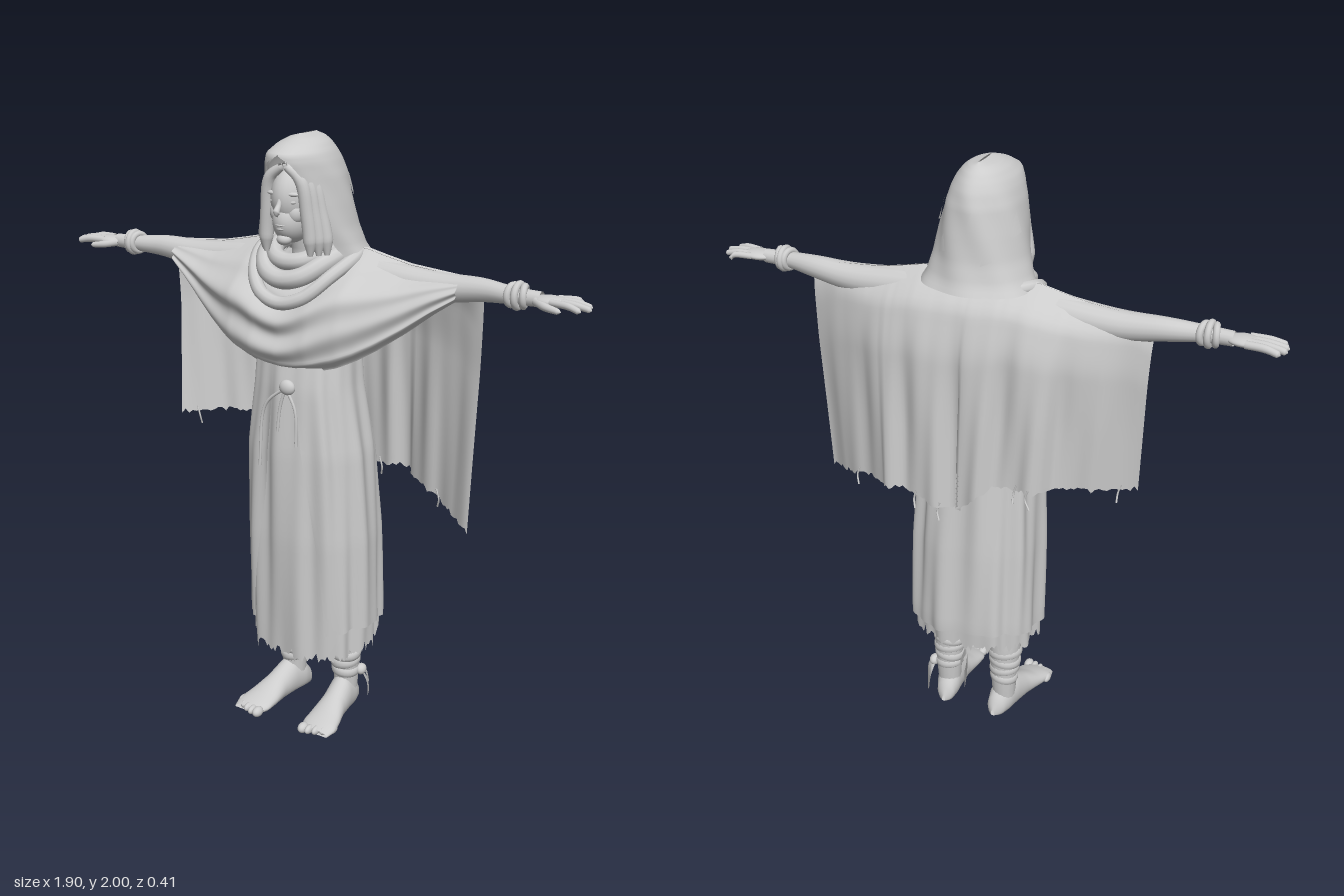
import * as THREE from 'three';

const V = (x, y, z) => new THREE.Vector3(x, y, z);
const TAU = Math.PI * 2;
const noise = (i) => { const s = Math.sin(i * 12.9898) * 43758.5453; return s - Math.floor(s); };
const smooth = (a, b, x) => THREE.MathUtils.smoothstep(x, a, b);

// Interpolate rows by their first value
function rowAt(rows, t) {
  let i = 0;
  while (i < rows.length - 2 && t > rows[i + 1][0]) i++;
  const a = rows[i], b = rows[i + 1];
  const k = THREE.MathUtils.clamp((t - a[0]) / (b[0] - a[0]), 0, 1);
  return a.map((n, j) => n + (b[j] - n) * k);
}

// Grid surface from fn(u, v) -> [x, y, z]; closed joins u = 1 to u = 0
function surface(fn, nu, nv, closed = false) {
  const pos = [], idx = [], cols = closed ? nu : nu + 1;
  for (let j = 0; j <= nv; j++)
    for (let i = 0; i < cols; i++) pos.push(...fn(i / nu, j / nv));
  for (let j = 0; j < nv; j++)
    for (let i = 0; i < nu; i++) {
      const k = (i + 1) % cols, a = j * cols + i, b = j * cols + k;
      idx.push(a, b, a + cols, b, b + cols, a + cols);
    }
  const g = new THREE.BufferGeometry();
  g.setAttribute('position', new THREE.Float32BufferAttribute(pos, 3));
  g.setIndex(idx);
  g.computeVertexNormals();
  return g;
}

export function createModel() {
  const model = new THREE.Group();
  const grey = new THREE.MeshStandardMaterial({ color: 0xcccccc, side: THREE.DoubleSide });
  grey.name = 'plain grey';

  const add = (name, geo, parent = model) => {
    const m = new THREE.Mesh(geo, grey);
    m.name = name;
    parent.add(m);
    return m;
  };
  const tube = (name, pts, r, parent, closed = false) =>
    add(name, new THREE.TubeGeometry(new THREE.CatmullRomCurve3(pts, closed), closed ? 64 : 20, r, 10, closed), parent);
  const ball = (name, x, y, z, sx, sy, sz, parent) => {
    const m = add(name, new THREE.SphereGeometry(1, 28, 20), parent);
    m.position.set(x, y, z);
    m.scale.set(sx, sy, sz);
    return m;
  };
  // Rounded limb with changing radius; points are [x, y, z, radius]
  const limb = (name, pts, parent) => {
    const curve = new THREE.CatmullRomCurve3(pts.map((p) => V(p[0], p[1], p[2])));
    const radii = pts.map((p, i) => [i / (pts.length - 1), p[3]]);
    const n = 24, fr = curve.computeFrenetFrames(n);
    return add(name, surface((u, v) => {
      const i = Math.round(v * n), r = rowAt(radii, v)[1], a = -u * TAU;
      return curve.getPoint(v).addScaledVector(fr.normals[i], r * Math.cos(a))
        .addScaledVector(fr.binormals[i], r * Math.sin(a)).toArray();
    }, 16, n, true), parent);
  };

  // Robe cross-sections: y, min x, max x, back z, front z
  const robe = [
    [0.25, -0.2, 0.25, -0.17, 0.18], [0.4, -0.2, 0.25, -0.178, 0.185], [0.7, -0.195, 0.245, -0.165, 0.195],
    [1.0, -0.182, 0.225, -0.145, 0.195], [1.22, -0.15, 0.19, -0.12, 0.185], [1.45, -0.15, 0.17, -0.11, 0.15],
    [1.58, -0.15, 0.16, -0.08, 0.09], [1.64, -0.07, 0.08, -0.06, 0.06],
  ];
  const robePoint = (a, y, scale) => {
    const [, x0, x1, z0, z1] = rowAt(robe, y);
    const loose = 1 - smooth(1.0, 1.4, y) * 0.6;
    const f = scale * (1 + loose * (0.032 * Math.sin(a * 9 + y * 2) + 0.022 * Math.sin(a * 16 - y * 2.5)) - 0.02);
    const sq = (t) => Math.sign(t) * Math.abs(t) ** 0.85;
    return [(x0 + x1) / 2 + (x1 - x0) / 2 * sq(Math.sin(a)) * f, y, (z0 + z1) / 2 + (z1 - z0) / 2 * sq(Math.cos(a)) * f];
  };
  add('innerRobe', surface((u, v) => {
    const a = u * TAU;
    const hem = 0.3 - 0.025 * Math.cos(a) + 0.03 * noise(Math.floor(u * 160));
    return robePoint(a, hem + (1.64 - hem) * Math.max(0, (v - 0.02) / 0.98) - (v === 0 ? 0.03 * noise(u * 91) : 0), 0.965);
  }, 160, 48, true));
  // Open coat with a parted front
  add('outerCoat', surface((u, v) => {
    const y0 = 0.375 + 0.015 * Math.sin(u * 13), y = y0 + (1.45 - y0) * v;
    const open = 0.2 + 0.36 * (1 - smooth(0.4, 1.25, y));
    return robePoint(open + u * (TAU - 2 * open), y, 1.025);
  }, 120, 40));

  // Waist knot and hanging cords
  const tie = new THREE.Group();
  tie.name = 'waistTie';
  model.add(tie);
  ball('knot', 0.035, 1.23, 0.188, 0.028, 0.025, 0.018, tie);
  for (const [x, y] of [[-0.07, 0.95], [0.0, 1.08], [0.07, 1.04]])
    tube('hangingCord', [V(0.03, 1.23, 0.19), V(x * 0.8 + 0.01, 1.16, 0.192), V(x, y, 0.193)], 0.005, tie);

  // Back cape, hanging lower on the left
  const capeHem = [[-0.56, 0.99], [-0.3, 1.0], [-0.13, 0.98], [0, 0.87], [0.1, 0.88], [0.25, 0.9], [0.42, 0.86], [0.6, 0.8]];
  const shoulder = [[0.08, 1.665], [0.2, 1.652], [0.27, 1.636], [0.35, 1.62], [0.45, 1.611], [0.6, 1.598]];
  const topY = (x) => rowAt(shoulder, Math.abs(x))[1];
  const capeDepth = [[0, -0.165], [0.2, -0.155], [0.3, -0.137], [0.4, -0.11], [0.6, -0.035]];
  const capePoint = (u, v) => {
    const x = -0.56 + u * 1.16, ax = Math.abs(x);
    const hem = rowAt(capeHem, x)[1] + 0.018 * noise(Math.floor(u * 110));
    const top = topY(x) - 0.06 * smooth(0.5, 0.6, ax);
    const fold = 0.014 * (Math.sin(x * 34 + v) + 0.4 * Math.sin(x * 71 - v * 2)) * smooth(0, 0.7, v) * (1 - smooth(0.2, 0.55, ax) * 0.6);
    const back = rowAt(capeDepth, ax)[1] * (0.74 + 0.26 * smooth(0, 0.35, v)) + v * (ax > 0.3 ? (ax - 0.3) * 0.2 : -0.015) + fold;
    const z = -0.02 + (back + 0.02) * Math.sin(Math.min(v * 7, 1) * Math.PI / 2);
    return [x + (x < 0 ? 0.03 * v : 0), top + (hem - top) * v, z];
  };
  add('backCape', surface(capePoint, 110, 40));
  // Loose threads on the torn hem
  [0.04, 0.26, 0.3, 0.55, 0.63, 0.86].forEach((u, i) => {
    const [x, y, z] = capePoint(u, 1);
    tube('thread', [V(x, y + 0.02, z), V(x + 0.01, y - 0.015, z), V(x + 0.01 - 0.02 * noise(i), y - 0.045, z - 0.01)], 0.003);
  });

  // Front shawl, sagging in curved folds from arm to arm
  const shawlDepth = [[0, 0.2], [0.1, 0.195], [0.2, 0.17], [0.3, 0.125], [0.4, 0.08], [0.53, 0.032]];
  const shawlHem = [[0, 1.272], [0.06, 1.275], [0.12, 1.285], [0.18, 1.302], [0.24, 1.33], [0.3, 1.367], [0.38, 1.425], [0.46, 1.49], [0.53, 1.54]];
  add('frontShawl', surface((u, v) => {
    const x = (u * 2 - 1) * 0.53, ax = Math.abs(x), neck = 1 - smooth(0, 0.2, ax);
    const top = topY(x) + 0.003 - 0.11 * neck;
    const low = rowAt(shawlHem, ax)[1];
    const bulge = Math.sin(Math.min(v * 1.8, 1) * Math.PI / 2);
    const start = -0.03 + 0.14 * neck;
    const fold = 0.011 * Math.sin(v * 19 + x * 5) * smooth(0.08, 0.3, v) * (1 - ax * 1.2);
    const z = start + (rowAt(shawlDepth, ax)[1] - start) * bulge + fold - 0.06 * smooth(0.9, 1, v) * (1 - ax);
    return [x, top + (low - top) * v, z];
  }, 96, 48));

  // Rolled cowl around the neck, sagging in front
  const cowl = new THREE.Group();
  cowl.name = 'cowl';
  model.add(cowl);
  for (const [front, fz, w, side, bz, r] of [
    [1.615, 0.125, 0.1, 1.655, -0.08, 0.028], [1.565, 0.158, 0.13, 1.645, -0.09, 0.03], [1.495, 0.178, 0.17, 1.635, -0.095, 0.022]]) {
    const half = [[0.45, front + (side - front) * 0.16, fz * 0.93], [0.82, front + (side - front) * 0.6, fz * 0.6], [1, side, -0.01], [0.6, side, bz * 0.85]]
      .map(([x, y, z]) => V(x * w, y, z));
    const mirrored = half.map((p) => V(-p.x, p.y, p.z)).reverse();
    tube('cowlRoll', [V(0, front, fz), ...half, V(0, side, bz), ...mirrored], r, cowl, true);
  }

  // Hood sections: y, half width, front z, back z, opening half-angle
  const hood = [
    [1.63, 0.185, 0.11, -0.165, 0.98], [1.66, 0.168, 0.125, -0.15, 0.92], [1.72, 0.15, 0.15, -0.135, 0.82], [1.8, 0.135, 0.17, -0.125, 0.74],
    [1.88, 0.117, 0.19, -0.113, 0.62], [1.925, 0.102, 0.203, -0.098, 0.4], [1.95, 0.09, 0.202, -0.083, 0], [1.975, 0.068, 0.155, -0.062, 0],
    [1.99, 0.045, 0.11, -0.042, 0], [2.0, 0.004, 0.07, -0.02, 0]];
  const hoodPoint = (u, y, grow = 0) => {
    const [, w, zf, zb, o] = rowAt(hood, y);
    const a = o + u * (TAU - 2 * o), d = (zf - zb) / 2 + grow;
    const f = 1 + 0.015 * Math.sin(a * 7 + y * 22) * (1 - smooth(1.85, 2, y));
    return [0.01 + (w + grow) * Math.sin(a) * f, y, (zf + zb) / 2 + d * Math.cos(a) * f];
  };
  add('hood', surface((u, v) => hoodPoint(u, 1.63 + 0.37 * Math.sin(v * Math.PI / 2)), 72, 40));
  add('hoodLining', surface((u, v) => hoodPoint(u, 1.64 + 0.335 * v, -0.008), 48, 24));
  // Worn patches on the hood
  for (const [u, y, w, h] of [[0.28, 1.84, 0.05, 0.06], [0.38, 1.76, 0.04, 0.05], [0.53, 1.84, 0.04, 0.06], [0.6, 1.74, 0.04, 0.04], [0.74, 1.82, 0.05, 0.06]])
    add('wornPatch', surface((s, t) => hoodPoint(u + (s - 0.5) * w * (1.3 - t), y + (t - 0.5) * h + s * 0.015, 0.006), 6, 6));

  // Head, face and hair
  const head = new THREE.Group();
  head.name = 'head';
  head.position.x = 0.01;
  model.add(head);
  ball('skull', 0, 1.815, 0.07, 0.078, 0.11, 0.12, head);
  ball('jaw', 0, 1.745, 0.115, 0.056, 0.07, 0.075, head);
  ball('chin', 0, 1.692, 0.162, 0.024, 0.018, 0.022, head);
  limb('nose', [[0, 1.825, 0.18, 0.006], [0, 1.8, 0.19, 0.008], [0, 1.778, 0.204, 0.011], [0, 1.766, 0.198, 0.002]], head);
  ball('upperLip', 0, 1.738, 0.18, 0.02, 0.005, 0.011, head);
  ball('lowerLip', 0, 1.726, 0.178, 0.017, 0.006, 0.011, head);
  limb('neck', [[0, 1.72, 0.04, 0.05], [0, 1.65, 0.03, 0.05], [0, 1.58, 0.02, 0.06]], head);
  for (const s of [-1, 1]) {
    ball('eyelid', s * 0.03, 1.808, 0.164, 0.016, 0.008, 0.014, head);
    ball('brow', s * 0.03, 1.832, 0.166, 0.026, 0.008, 0.014, head);
    ball('cheek', s * 0.03, 1.772, 0.144, 0.028, 0.034, 0.03, head);
    for (let i = 0; i < 3; i++)
      limb('hairLock', [[s * 0.01, 1.91, 0.16 - i * 0.02, 0.012], [s * (0.055 + i * 0.008), 1.875, 0.155 - i * 0.02, 0.02],
        [s * (0.073 + i * 0.012), 1.77, 0.145 - i * 0.02, 0.022], [s * (0.08 + i * 0.016), 1.69, 0.14 - i * 0.02, 0.022],
        [s * (0.08 + i * 0.018), 1.645, 0.14 - i * 0.02, 0.008]], head);
  }

  // Arms, wrist wraps and hands
  for (const s of [-1, 1]) {
    const arm = new THREE.Group();
    arm.name = s > 0 ? 'leftArm' : 'rightArm';
    model.add(arm);
    limb('sleeve', [[s * 0.08, 1.575, -0.02, 0.065], [s * 0.25, 1.57, -0.02, 0.058], [s * 0.45, 1.563, -0.02, 0.048],
      [s * 0.6, 1.575, -0.015, 0.036], [s * 0.7, 1.575, 0, 0.026], [s * 0.79, 1.575, 0, 0.023]], arm);
    for (let i = 0; i < 3; i++) {
      const ring = add('wristWrap', new THREE.TorusGeometry(0.029 + (i === 1 ? 0.005 : 0), 0.011, 10, 28), arm);
      ring.position.set(s * (0.7 + i * 0.018), 1.577, 0);
      ring.rotation.set(0, Math.PI / 2 + (i - 1) * 0.25, 0.1 * i);
    }
    ball('palm', s * 0.82, 1.575, 0.002, 0.056, 0.016, 0.039, arm);
    // Left fingers fan out, right fingers lie together
    const [spread, thick, tips] = s > 0 ? [1.4, 0.0105, [0.905, 0.94, 0.95, 0.93]] : [1.1, 0.0125, [0.935, 0.95, 0.95, 0.94]];
    tips.forEach((tip, i) => {
      const z = (i - 1.5) * 0.02;
      limb('finger', [[s * 0.83, 1.577, z, thick], [s * 0.89, 1.576, z * spread, thick], [s * (tip - 0.008), 1.568, z * spread * 1.15, thick * 0.85],
        [s * tip, 1.566, z * spread * 1.18, 0.001]], arm);
    });
    limb('thumb', [[s * 0.78, 1.572, 0.018, 0.013], [s * 0.82, 1.565, 0.042, 0.012], [s * 0.862, 1.56, 0.052, 0.009], [s * 0.872, 1.559, 0.053, 0.001]], arm);
  }

  // Wrapped legs and bare feet
  const foot = [[-0.125, 0.006, 0.03], [-0.11, 0.03, 0.07], [-0.07, 0.043, 0.12], [-0.02, 0.044, 0.13], [0.04, 0.046, 0.095],
    [0.1, 0.058, 0.062], [0.15, 0.064, 0.042], [0.185, 0.05, 0.026]];
  for (const [s, x0, splay] of [[-1, -0.1, -0.19], [1, 0.115, 0.09]]) {
    const leg = new THREE.Group();
    leg.name = s > 0 ? 'leftLeg' : 'rightLeg';
    leg.position.x = x0;
    model.add(leg);
    limb('shin', [[0, 0.5, -0.035, 0.066], [0, 0.38, -0.04, 0.061], [0, 0.27, -0.048, 0.056], [0, 0.16, -0.055, 0.046], [0, 0.06, -0.055, 0.04]], leg);
    for (let i = 0; i < 4; i++) {
      const wrap = add('legWrap', new THREE.TorusGeometry(0.042 + i * 0.0035, 0.009, 8, 28), leg);
      wrap.position.set(0, 0.15 + i * 0.035, -0.054 + i * 0.003);
      wrap.rotation.set(Math.PI / 2 + 0.12, s * 0.15 * (i % 2 ? 1 : -1), 0);
      wrap.scale.z = 2;
    }
    const shift = (z) => splay * (z + 0.05);
    add('foot', surface((u, v) => {
      const [z, w, h] = rowAt(foot, -0.125 + v * 0.31), a = u * TAU;
      return [shift(z) + w * Math.cos(a), Math.max(0.008, h * (0.45 + 0.55 * Math.sin(a))), z];
    }, 28, 30, true), leg);
    for (let i = 0; i < 5; i++)
      ball('toe', shift(0.18) + s * (-0.045 + i * 0.023), 0.018, 0.185 - i * i * 0.0028, i ? 0.012 : 0.017, i ? 0.015 : 0.018, 0.024, leg);
  }

  // Cloth bow on the left ankle
  const bow = new THREE.Group();
  bow.name = 'ankleBow';
  model.add(bow);
  const strip = (name, pts, w) => {
    const c = new THREE.CatmullRomCurve3(pts);
    add(name, surface((u, v) => {
      const p = c.getPoint(v), k = (u - 0.5) * w * (0.4 + v);
      return [p.x + k * 0.5, p.y + k * 0.35, p.z + k];
    }, 4, 14), bow);
  };
  ball('bowKnot', 0.165, 0.145, -0.075, 0.018, 0.02, 0.022, bow);
  strip('outerTail', [V(0.165, 0.145, -0.075), V(0.185, 0.1, -0.085), V(0.185, 0.045, -0.095)], 0.055);
  strip('backTail', [V(0.16, 0.145, -0.08), V(0.165, 0.12, -0.11), V(0.17, 0.07, -0.12)], 0.045);
  strip('innerLoop', [V(0.065, 0.16, -0.07), V(0.035, 0.23, -0.08), V(0.03, 0.17, -0.09), V(0.04, 0.1, -0.09)], 0.04);
  return model;
}
